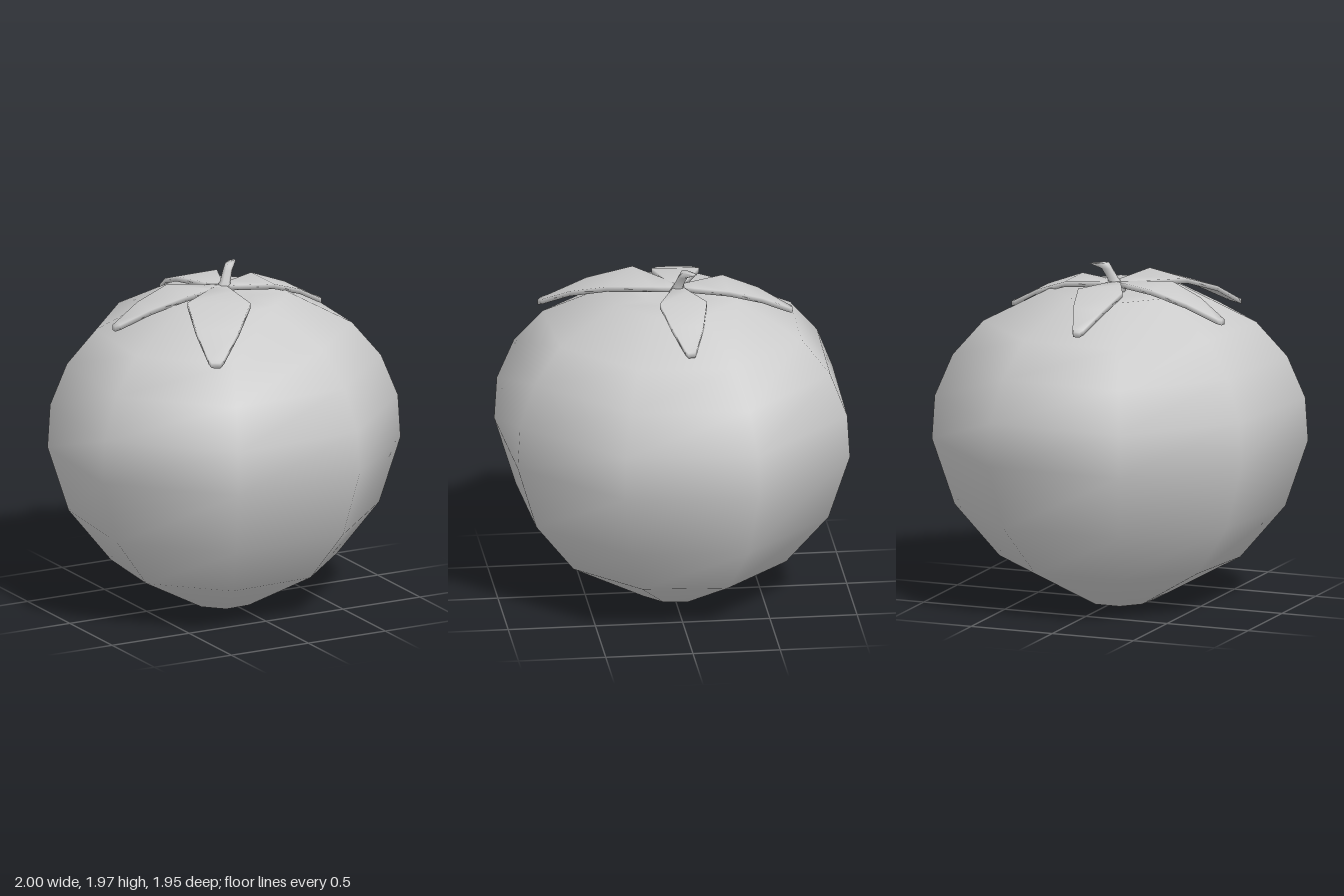
import * as THREE from 'three';

const V = (x, y, z) => new THREE.Vector3(x, y, z);

// Skin a list of equal-sized rings and close both ends
function loft(name, rings) {
  const n = rings[0].length, last = rings.length - 1, index = [];
  const pos = rings.flat().flatMap((p) => [p.x, p.y, p.z]);
  for (let i = 0; i < last; i++) {
    for (let j = 0; j < n; j++) {
      const a = i * n + j, b = i * n + (j + 1) % n;
      index.push(a, b, b + n, a, b + n, a + n);
    }
  }
  for (let j = 1; j < n - 1; j++) {
    index.push(0, j + 1, j, last * n, last * n + j, last * n + j + 1);
  }
  const geo = new THREE.BufferGeometry();
  geo.setAttribute('position', new THREE.Float32BufferAttribute(pos, 3));
  geo.setIndex(index);
  geo.computeVertexNormals();
  const mesh = new THREE.Mesh(geo, new THREE.MeshStandardMaterial({ color: 0xcccccc }));
  mesh.name = name;
  return mesh;
}

// Fruit: a slightly uneven octagon scaled along a round profile
function makeFruit() {
  const corners = [[1, -0.38], [0.41, -0.97], [-0.4, -0.98], [-0.92, -0.41],
    [-1, 0.39], [-0.44, 0.97], [0.37, 0.93], [0.94, 0.38]];
  const profile = [[0.185, 0], [0.64, 0.25], [0.88, 0.55], [1, 0.93], [0.985, 1.18],
    [0.89, 1.42], [0.725, 1.62], [0.37, 1.81], [0.16, 1.8]];
  return loft('fruit', profile.map(([r, y]) => corners.map(([x, z]) => V(x * r, y, z * r))));
}

// Leaf: flat slab, widest part way along, bending down to a blunt tip
function makeLeaf(name, tipX, tipZ, halfWidth, tipY) {
  const base = V(0, 0, -0.03);
  const dir = V(tipX, 0, tipZ).sub(base);
  const length = dir.length();
  dir.normalize();
  const side = V(0, 1, 0).cross(dir);
  const drop = 1.86 - tipY;
  // distance along, width, drop (all as fractions)
  const stations = [[0, 0.14, 0], [0.14, 0.42, 0], [0.42, 1, 0], [0.72, 0.68, 0.42],
    [0.96, 0.24, 0.94], [1, 0.14, 1]];
  return loft(name, stations.map(([t, w, d]) => {
    const c = base.clone().addScaledVector(dir, t * length);
    const top = 1.86 - d * drop, h = 0.03;
    return [[1, -h], [1, 0], [-1, 0], [-1, -h]].map(([s, dy]) =>
      c.clone().addScaledVector(side, s * w * halfWidth).setY(top + dy));
  }));
}

// Stem: flared foot, thin neck, bent and stretched tip
function makeStem() {
  const lean = V(0.77, 0, -0.64), across = V(-0.64, 0, -0.77);
  // centre x, y, z, radius along the lean, radius across it
  const sections = [[0.01, 1.79, -0.02, 0.06, 0.06], [0.01, 1.84, -0.025, 0.042, 0.042],
    [0.03, 1.88, -0.035, 0.032, 0.03], [0.055, 1.935, -0.055, 0.032, 0.027],
    [0.09, 1.97, -0.085, 0.058, 0.024]];
  return loft('stem', sections.map(([x, y, z, a, b]) =>
    Array.from({ length: 6 }, (_, j) => {
      const t = j * Math.PI / 3;
      return V(x, y, z).addScaledVector(lean, a * Math.cos(t)).addScaledVector(across, b * Math.sin(t));
    })));
}

export function createModel() {
  const model = new THREE.Group();
  model.name = 'fruitWithLeaves';
  model.add(
    makeFruit(),
    makeLeaf('leftLeaf', 0.645, -0.035, 0.135, 1.695),
    makeLeaf('rightLeaf', -0.67, -0.08, 0.135, 1.7),
    makeLeaf('backLeaf', -0.02, -0.69, 0.135, 1.695),
    makeLeaf('frontLeaf', -0.44, 0.71, 0.18, 1.65),
    makeStem(),
  );
  return model;
}
